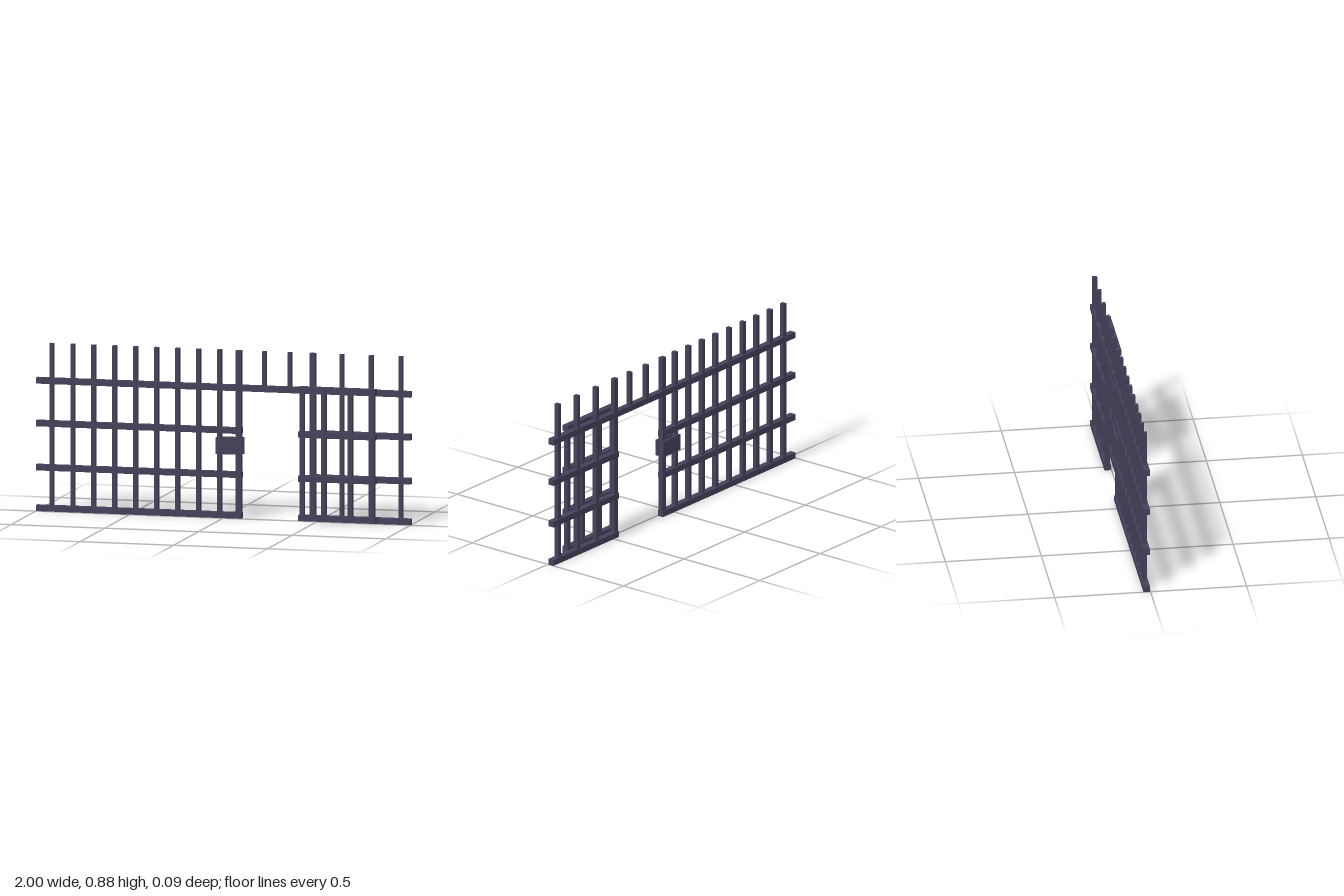
import * as THREE from 'three';

const material = new THREE.MeshStandardMaterial({ color: 0x45405a, flatShading: true });

// Box given by its low and high corner on each axis
function addBox(parent, name, [x0, x1], [y0, y1], [z0, z1]) {
  const mesh = new THREE.Mesh(new THREE.BoxGeometry(x1 - x0, y1 - y0, z1 - z0), material);
  mesh.position.set((x0 + x1) / 2, (y0 + y1) / 2, (z0 + z1) / 2);
  mesh.name = name;
  parent.add(mesh);
}

const around = (centre, size) => [centre - size / 2, centre + size / 2];

export function createModel() {
  const model = new THREE.Group();
  model.name = 'barredWall';

  const wall = new THREE.Group();
  wall.name = 'fixedBars';
  model.add(wall);
  const wallZ = -0.02, top = 0.877;
  const barZ = around(wallZ, 0.025), railZ = around(wallZ, 0.034);

  // Upright bars on both sides of the doorway
  for (let i = 0; i < 9; i++) {
    addBox(wall, 'bar', around(-0.918 + i * 0.1118, 0.022), [0.01, top], barZ);
  }
  for (const x of [0.63, 0.787, 0.945]) {
    addBox(wall, 'bar', around(x, 0.022), [0.01, top], barZ);
  }

  // Short bars above the doorway
  for (const x of [0.217, 0.352]) {
    addBox(wall, 'shortBar', around(x, 0.02), [0.68, top], barZ);
  }

  // Thicker posts framing the doorway
  for (const x of [0.08, 0.475]) {
    addBox(wall, 'doorPost', around(x, 0.03), [0.003, top], barZ);
  }

  // Cross rails, with the top one running over the doorway
  for (const y of [0.016, 0.228, 0.458]) {
    addBox(wall, 'leftRail', [-1, 0.096], around(y, 0.031), railZ);
    addBox(wall, 'rightRail', [0.459, 1], around(y, 0.031), railZ);
  }
  addBox(wall, 'topRail', [-1, 1], around(0.681, 0.031), railZ);

  // Lock plates on both faces of the bars
  for (const z of [[-0.045, -0.032], [-0.008, 0.005]]) {
    addBox(wall, 'lockPlate', [-0.038, 0.103], [0.335, 0.421], z);
  }

  // Sliding door, open in front of the right side
  const door = new THREE.Group();
  door.name = 'slidingDoor';
  model.add(door);
  const doorZ = 0.028;
  for (const x of [0.43, 0.547, 0.688, 0.805]) {
    addBox(door, 'doorBar', around(x, 0.024), [0.015, 0.7], around(doorZ, 0.025));
  }
  for (const y of [0.023, 0.228, 0.458, 0.692]) {
    addBox(door, 'doorRail', [0.413, 0.824], around(y, 0.031), around(doorZ, 0.034));
  }
  return model;
}
